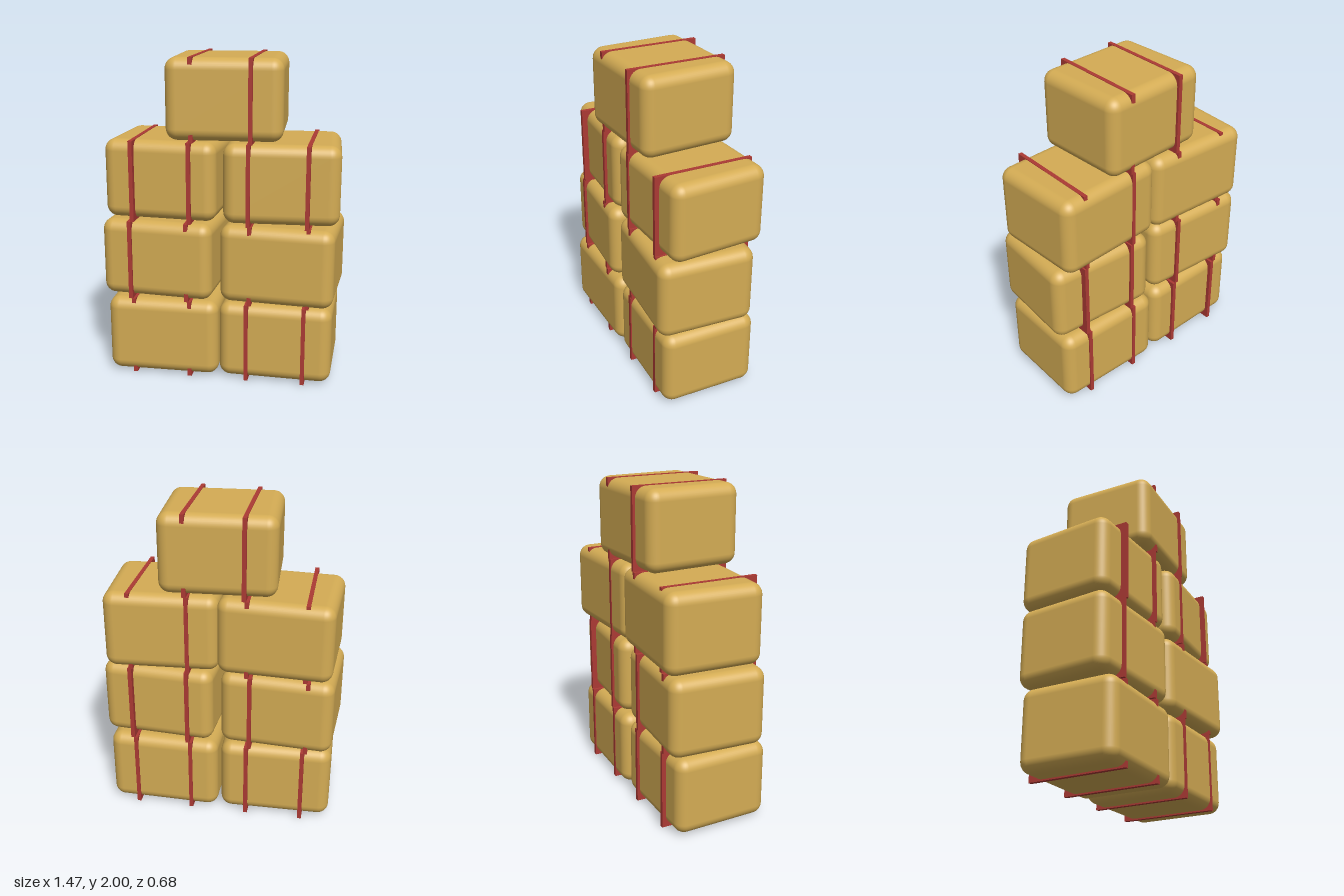
import * as THREE from 'three';
import { RoundedBoxGeometry } from 'three/addons/geometries/RoundedBoxGeometry.js';

const ROW = 0.5;

export function createModel() {
  const group = new THREE.Group();
  group.name = 'baleStack';

  const straw = new THREE.MeshStandardMaterial({ color: 0xd4ac54 });
  straw.name = 'straw';
  const twine = new THREE.MeshStandardMaterial({ color: 0xac3a34 });
  twine.name = 'red twine';

  const baleGeo = new RoundedBoxGeometry(0.7, 0.488, 0.605, 5, 0.07);
  const strapGeo = new THREE.BoxGeometry(0.025, 0.5, 0.615);

  // row, centre x, bale shift in z, bale turn about y
  const bales = [
    [0, -0.358, 0.015, 0.02],
    [0, 0.354, 0, -0.012],
    [1, -0.375, 0, -0.06],
    [1, 0.371, 0.02, -0.06],
    [2, -0.354, -0.022, -0.05],
    [2, 0.361, -0.012, 0.058],
    [3, 0.018, 0.002, 0.055],
  ];

  for (const [row, x, z, turn] of bales) {
    const unit = new THREE.Group();
    unit.name = 'strappedBale';
    unit.position.set(x, (row + 0.5) * ROW, 0);

    // bale body, slightly turned
    const bale = new THREE.Mesh(baleGeo, straw);
    bale.name = 'bale';
    bale.position.set(0, 0.003, z);
    bale.rotation.y = turn;
    unit.add(bale);

    // two straight straps, only their outer edges stand proud
    for (const side of [-1, 1]) {
      const strap = new THREE.Mesh(strapGeo, twine);
      strap.name = side < 0 ? 'rightStrap' : 'leftStrap';
      strap.position.x = side * 0.177;
      unit.add(strap);
    }
    group.add(unit);
  }
  return group;
}
